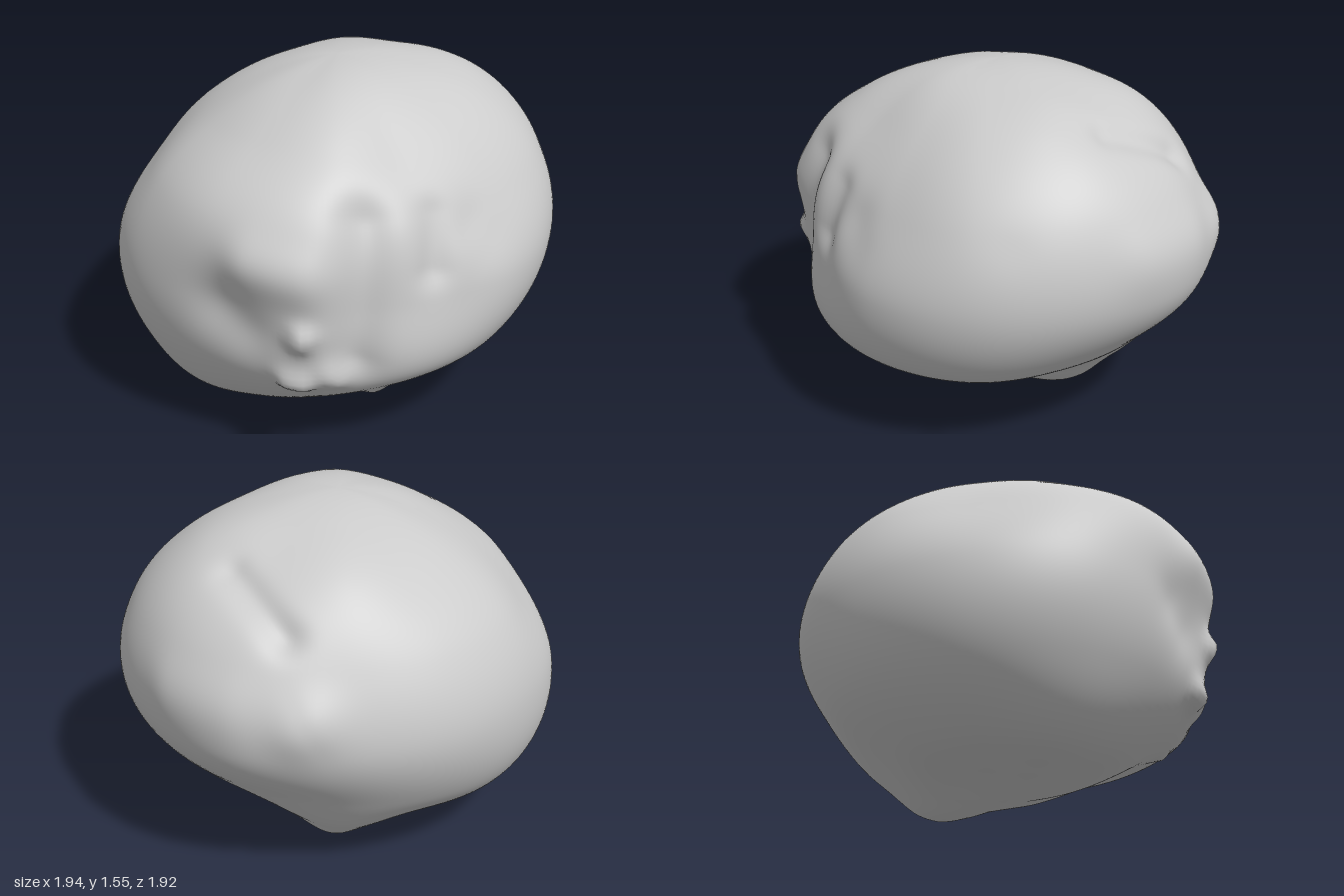
import * as THREE from 'three';
import { mergeVertices } from 'three/addons/utils/BufferGeometryUtils.js';

const CENTRE = new THREE.Vector3(0, 0.75, 0);

// Distance from the centre: one row per 22.5 degrees of elevation (low to high),
// one column per 30 degrees round, starting at +x and turning towards +z.
const RINGS = [
  [.69, .69, .69, .73, .73, .74, .73, .73, .76, .79, .76, .71],
  [.70, .72, .73, .80, .86, .93, .90, .84, .79, .81, .75, .70],
  [.87, .88, .89, .91, .91, .97, .98, .93, .87, .84, .82, .83],
  [.96, .91, .84, .91, .92, .97, .965, .93, .92, .93, .99, .97],
  [.95, .85, .84, .93, .95, .91, .85, .88, .89, .91, .98, .99],
  [.89, .82, .80, .86, .84, .81, .79, .81, .83, .88, .89, .93],
  [.82, .81, .81, .81, .79, .78, .77, .78, .79, .81, .82, .83],
];
const ROWS = [Array(12).fill(.71), ...RINGS, Array(12).fill(.79)];

// Grooves and lumps: start, end, width, height (negative sinks in)
const FEATURES = [
  [[.16, 1.12, .82], [.12, .52, .86], .12, -.065],       // sunken front panel
  [[.45, 1.1, .66], [.44, .88, .70], .08, -.035],        // step at its edge
  [[-.3, .96, .87], [-.1, .92, .93], .12, .04],          // brow
  [[-.09, .66, .94], [-.10, .64, .94], .055, .07],       // upper knob
  [[-.15, .42, .86], [-.10, .42, .86], .06, .05],        // lower knobs
  [[.03, .46, .86], [.05, .44, .86], .07, .04],
  [[.2, .27, .66], [.21, .27, .66], .04, .025],          // small lowest knob
  [[-.42, .72, .82], [-.33, .65, .85], .14, -.035],      // cheek hollow
  [[.44, 1.35, -.47], [.24, 1.22, -.76], .07, -.04],     // crease at the back
  [[.47, 1.32, -.32], [.78, 1.02, -.14], .10, -.025],    // crease down the side
  [[.58, 1.0, .52], [.62, .92, .48], .12, -.02],         // side hollow
  [[.35, .18, .1], [.4, .2, -.15], .12, -.025],          // underside hollow
  [[.14, .92, -.94], [.18, .9, -.94], .13, .04],         // back lumps
  [[.48, .95, -.83], [.7, .95, -.68], .14, .02],
  [[.05, .02, -.36], [.05, .02, -.32], .13, .03],        // foot it rests on
].map(([a, b, width, height]) => ({
  line: new THREE.Line3(new THREE.Vector3(...a), new THREE.Vector3(...b)), width, height,
}));

const wrap = (i) => ((i % 12) + 12) % 12;

// Rows past a pole continue down the opposite side
function sample(row, col) {
  if (row < 0) return ROWS[-row][wrap(col + 6)];
  if (row > 8) return ROWS[16 - row][wrap(col + 6)];
  return ROWS[row][wrap(col)];
}

function spline(a, b, c, d, t) {
  return b + 0.5 * t * (c - a + t * (2 * a - 5 * b + 4 * c - d + t * (3 * (b - c) + d - a)));
}

function radius(dir) {
  const row = (Math.asin(THREE.MathUtils.clamp(dir.y, -1, 1)) / Math.PI + 0.5) * 8;
  const col = (Math.atan2(dir.z, dir.x) / Math.PI) * 6;
  const r = Math.min(7, Math.floor(row)), c = Math.floor(col);
  const across = [-1, 0, 1, 2].map((i) =>
    spline(...[-1, 0, 1, 2].map((j) => sample(r + i, c + j)), col - c));
  return spline(...across, row - r);
}

function boulderGeometry() {
  let geometry = new THREE.SphereGeometry(1, 200, 120);
  geometry.deleteAttribute('uv');
  geometry.deleteAttribute('normal');
  geometry = mergeVertices(geometry, 1e-5);

  const position = geometry.attributes.position;
  const dir = new THREE.Vector3(), point = new THREE.Vector3(), near = new THREE.Vector3();
  for (let i = 0; i < position.count; i++) {
    dir.fromBufferAttribute(position, i).normalize();
    point.copy(dir).multiplyScalar(radius(dir)).add(CENTRE);
    let push = 0;
    for (const { line, width, height } of FEATURES) {
      line.closestPointToPoint(point, true, near);
      push += height * Math.exp(-near.distanceToSquared(point) / (width * width));
    }
    point.addScaledVector(dir, push);
    position.setXYZ(i, point.x, point.y, point.z);
  }

  // Centre it and stand it on the ground
  geometry.center();
  geometry.computeBoundingBox();
  geometry.translate(0, -geometry.boundingBox.min.y, 0);
  geometry.computeVertexNormals();
  return geometry;
}

export function createModel() {
  const group = new THREE.Group();
  group.name = 'boulder';
  const stone = new THREE.Mesh(
    boulderGeometry(),
    new THREE.MeshStandardMaterial({ color: 0xcccccc }),
  );
  stone.name = 'stoneBody';
  group.add(stone);
  return group;
}
